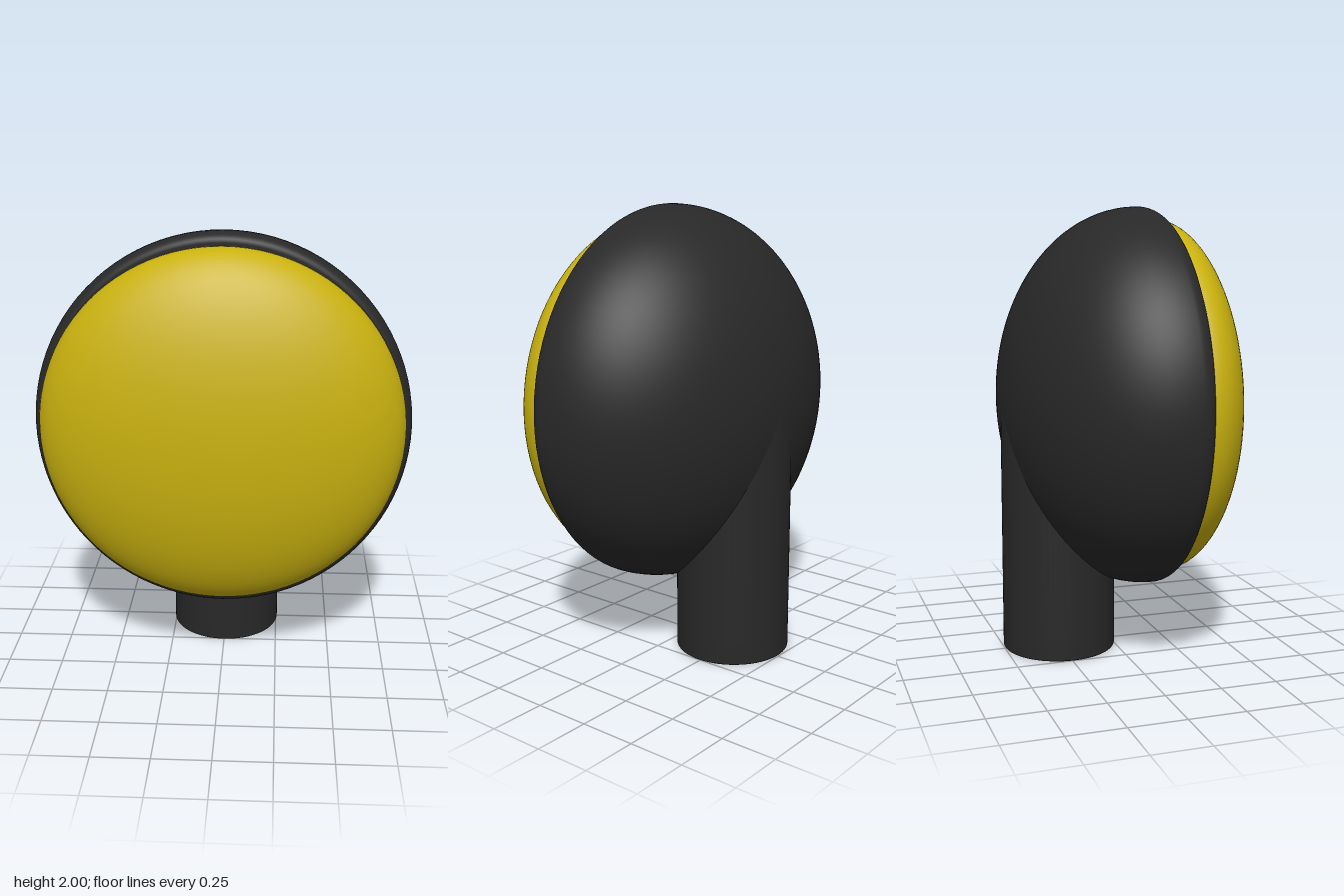
import * as THREE from 'three';

const CENTRE_Y = 1.145;

// Points along a quarter or part ellipse in (radius, depth)
function arc(r0, z0, rr, rz, from, to, steps) {
  return Array.from({ length: steps + 1 }, (_, i) => {
    const a = from + ((to - from) * i) / steps;
    return new THREE.Vector2(Math.max(0, r0 + rr * Math.cos(a)), z0 + rz * Math.sin(a));
  });
}

// Lathe whose axis points to the front, with a separate vertical stretch
function frontLathe(points, stretchY) {
  const geometry = new THREE.LatheGeometry(points, 96);
  geometry.rotateX(Math.PI / 2);
  geometry.scale(1, stretchY, 1);
  return geometry;
}

export function createModel() {
  const black = new THREE.MeshStandardMaterial({ color: 0x282828 });
  black.name = 'black';
  const yellow = new THREE.MeshStandardMaterial({ color: 0xc9b10f });
  yellow.name = 'yellow';

  const group = new THREE.Group();
  const add = (name, geometry, material, y, z) => {
    const mesh = new THREE.Mesh(geometry, material);
    mesh.name = name;
    mesh.position.set(0, y, z);
    group.add(mesh);
  };
  const half = Math.PI / 2;

  // Domed housing: half ellipsoid at the back, rounded lip, flat front
  const housing = [
    ...arc(0, 0.125, 0.835, 0.625, -half, 0, 40),
    ...arc(0.795, 0.125, 0.04, 0.06, 0, half, 8).slice(1),
    new THREE.Vector2(0.7, 0.185),
    new THREE.Vector2(0, 0.185),
  ];
  add('housing', frontLathe(housing, 0.855 / 0.835), black, CENTRE_Y, 0);

  // Bulging lens, starting just inside the housing
  const lens = arc(0, 0.2, 0.803, 0.3, -0.1, half, 32);
  add('lens', frontLathe(lens, 0.998), yellow, CENTRE_Y, 0);

  // Round stem with a slightly eased bottom edge
  const R = 0.256;
  const stemSide = [
    ...arc(R - 0.01, 0.01, 0.01, 0.01, -half, 0, 4),
    new THREE.Vector2(R, 0.1),
    new THREE.Vector2(R, 1.15),
  ];
  add('stem', new THREE.LatheGeometry(stemSide, 64), black, 0, -0.244);
  const base = new THREE.CircleGeometry(R - 0.01, 64);
  base.rotateX(half);
  add('stemBase', base, black, 0, -0.244);

  return group;
}
